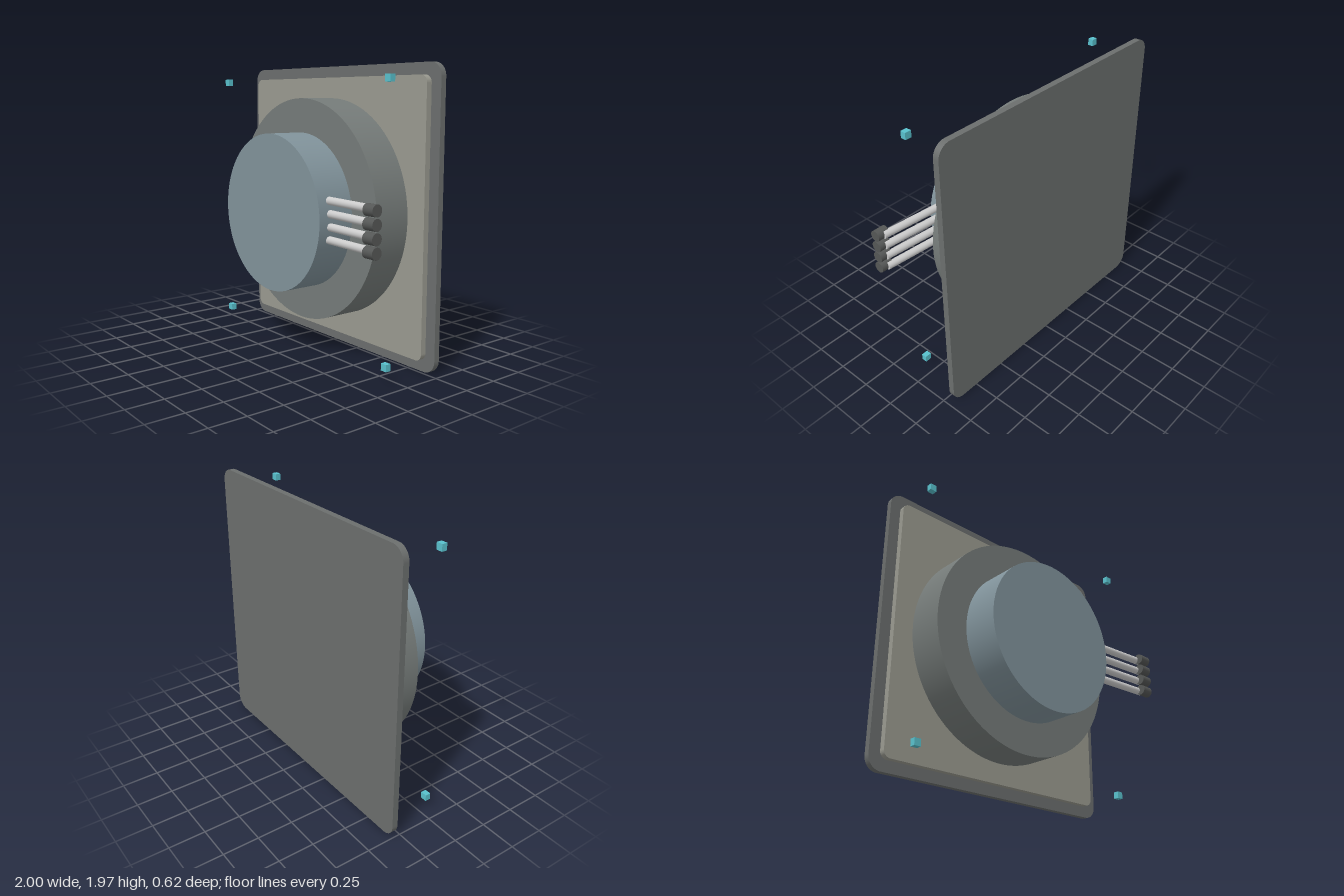
import * as THREE from 'three';

const CX = -0.02, CY = 0.983; // axis of the plate and drums

function paint(color) {
  return new THREE.MeshStandardMaterial({ color });
}

// Rounded square slab between two z planes
function slab(name, size, radius, z0, z1, material) {
  const h = size / 2, c = h - radius;
  const s = new THREE.Shape();
  s.moveTo(-c, -h);
  s.absarc(c, -c, radius, -Math.PI / 2, 0);
  s.absarc(c, c, radius, 0, Math.PI / 2);
  s.absarc(-c, c, radius, Math.PI / 2, Math.PI);
  s.absarc(-c, -c, radius, Math.PI, Math.PI * 1.5);
  const geometry = new THREE.ExtrudeGeometry(s, { depth: z1 - z0, bevelEnabled: false, curveSegments: 10 });
  const mesh = new THREE.Mesh(geometry, material);
  mesh.name = name;
  mesh.position.set(CX, CY, z0);
  return mesh;
}

// Solid cylinder running from point a to point b
function rod(name, a, b, radius, segments, material) {
  const dir = b.clone().sub(a);
  const mesh = new THREE.Mesh(new THREE.CylinderGeometry(radius, radius, dir.length(), segments), material);
  mesh.name = name;
  mesh.position.copy(a).add(b).multiplyScalar(0.5);
  mesh.quaternion.setFromUnitVectors(new THREE.Vector3(0, 1, 0), dir.normalize());
  return mesh;
}

export function createModel() {
  const group = new THREE.Group();
  group.name = 'mountedDrum';
  const v = (x, y, z) => new THREE.Vector3(x, y, z);

  const dark = paint(0x6b6e6d);
  const beige = paint(0x9a9a90);
  const grey = paint(0x757b79);
  const blue = paint(0x80929a);
  const teal = paint(0x58c0cc);
  const light = paint(0xcccccc);
  const black = paint(0x555756);

  // Back plate and raised panel
  group.add(slab('backPlate', 1.965, 0.09, -0.315, -0.273, dark));
  group.add(slab('frontPanel', 1.81, 0.05, -0.274, -0.232, beige));

  // Stepped drums
  group.add(rod('outerDrum', v(CX, CY, -0.233), v(CX, CY, 0.033), 0.763, 96, grey));
  group.add(rod('innerDrum', v(CX, CY, 0.032), v(CX, CY, 0.298), 0.531, 96, blue));

  // Floating corner markers
  for (const sx of [-1, 1]) for (const sy of [-1, 1]) {
    const marker = new THREE.Mesh(new THREE.BoxGeometry(0.046, 0.046, 0.038), teal);
    marker.name = 'cornerMarker';
    marker.position.set(CX + sx * 0.88, CY + sy * 0.88, 0.053);
    group.add(marker);
  }

  // Four leads with end connectors
  for (let i = 0; i < 4; i++) {
    const y = 0.864 + i * 0.083;
    const lead = new THREE.Group();
    lead.name = 'lead';
    lead.add(rod('wire', v(0.495, y, 0.209), v(0.955, y, 0.244), 0.026, 24, light));
    lead.add(rod('connector', v(0.915, y, 0.272), v(1, y, 0.272), 0.038, 24, black));
    group.add(lead);
  }
  return group;
}
